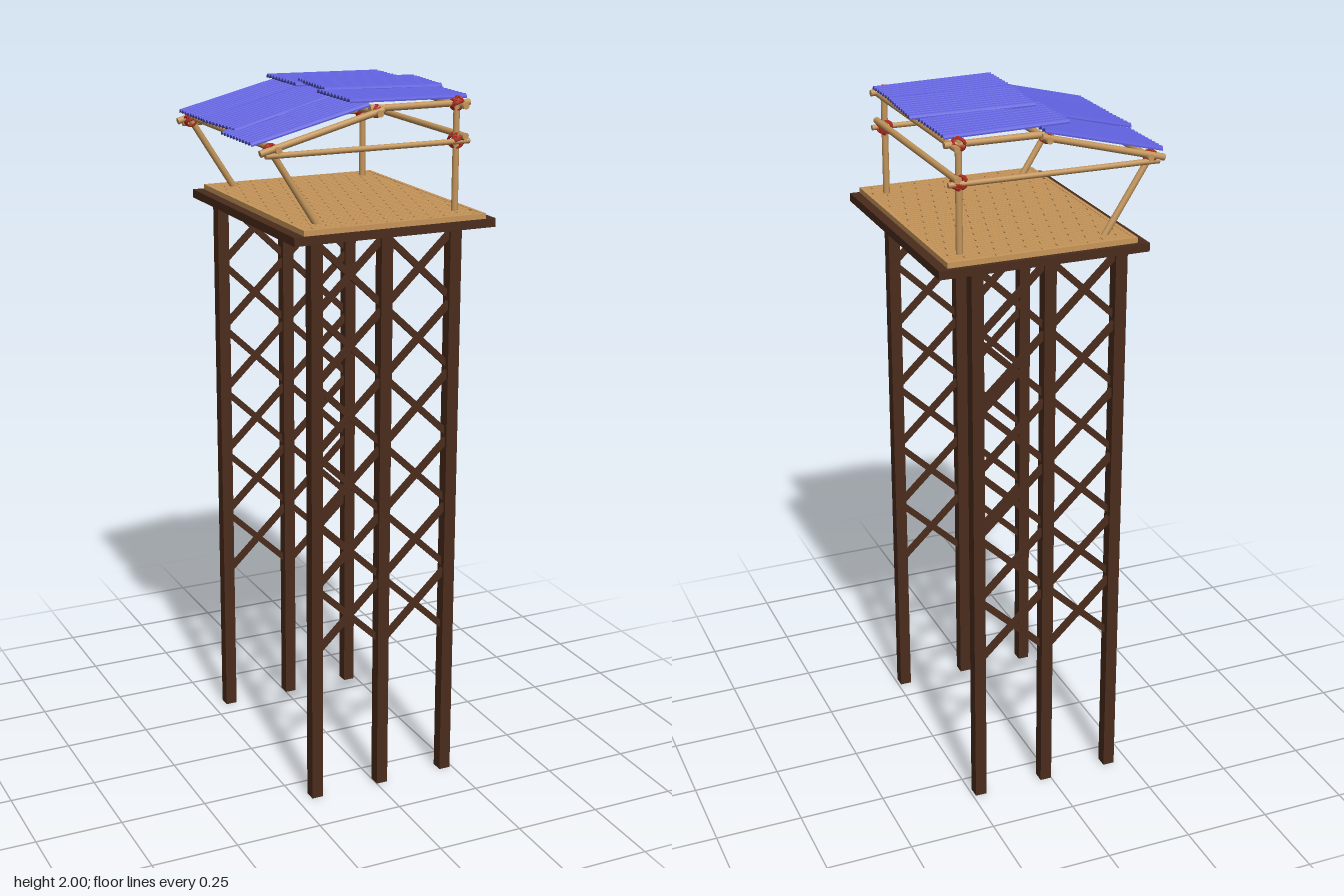
import * as THREE from 'three';
import { mergeGeometries } from 'three/addons/utils/BufferGeometryUtils.js';

const mat = (color, side = THREE.FrontSide) => new THREE.MeshStandardMaterial({ color, side });
const darkWood = mat(0x4a2c1c);
const plankWood = mat(0xc8965a);
const poleWood = mat(0xc4965c);
const ropeRed = mat(0xb02a1c);
const sheetBlue = mat(0x5c5cd6, THREE.DoubleSide);
const V = (x, y, z) => new THREE.Vector3(x, y, z);

function add(parent, name, geometry, material) {
  const mesh = new THREE.Mesh(geometry, material);
  mesh.name = name;
  parent.add(mesh);
  return mesh;
}

function box(x0, x1, y0, y1, z0, z1) {
  return new THREE.BoxGeometry(x1 - x0, y1 - y0, z1 - z0)
    .translate((x0 + x1) / 2, (y0 + y1) / 2, (z0 + z1) / 2);
}

// round pole between two points
function pole(parent, name, a, b, r = 0.0095) {
  const dir = b.clone().sub(a);
  const mesh = add(parent, name, new THREE.CylinderGeometry(r * 0.95, r, dir.length(), 10), poleWood);
  mesh.position.copy(a).add(b).multiplyScalar(0.5);
  mesh.quaternion.setFromUnitVectors(V(0, 1, 0), dir.normalize());
}

// rope lashing: crossed loops around a joint
function lashing(parent, x, y, z, r = 0.018) {
  const loops = [[0.9, 0.75, 0], [0.9, -0.75, 0], [1.35, 0.2, 0.3], [0.35, 0.5, 0.2], [-0.5, -0.6, 0.4]];
  const parts = loops.map(([rx, ry, rz]) => {
    const g = new THREE.TorusGeometry(r, 0.0035, 6, 18);
    return g.rotateX(rx).rotateY(ry).rotateZ(rz);
  });
  add(parent, 'ropeLashing', mergeGeometries(parts), ropeRed).position.set(x, y, z);
}

// corrugated sheet: a scalloped cross-section extruded along x
function corrugatedSheet() {
  const waves = 10, width = 0.21, steps = 8, pitch = width / waves;
  const top = [], bottom = [];
  for (let i = 0; i <= waves * steps; i++) {
    const x = -width / 2 + (i / steps) * pitch;
    const y = 0.008 * Math.abs(Math.sin((i / steps) * Math.PI));
    top.push(new THREE.Vector2(x, y));
    bottom.unshift(new THREE.Vector2(x, y - 0.004));
  }
  const shape = new THREE.Shape([...top, ...bottom]);
  return new THREE.ExtrudeGeometry(shape, { depth: 0.35, bevelEnabled: false })
    .translate(0, 0, -0.175).rotateY(Math.PI / 2);
}

export function createModel() {
  const model = new THREE.Group();
  model.name = 'watchtower';

  // legs and cross bracing on the front and back
  const legX = [-0.19, 0.017, 0.225];
  const tower = new THREE.Group();
  tower.name = 'towerFrame';
  model.add(tower);
  for (const z of [0.336, -0.325]) {
    for (const x of legX) {
      add(tower, 'leg', box(x - 0.017, x + 0.017, 0, 1.635, z - 0.018, z + 0.018), darkWood);
    }
    const levels = 6, low = 0.45, step = (1.635 - low) / levels;
    for (let bay = 0; bay < 2; bay++) {
      const w = legX[bay + 1] - legX[bay];
      for (let i = 0; i < levels; i++) {
        for (const s of [1, -1]) {
          const brace = add(tower, 'crossBrace',
            new THREE.BoxGeometry(Math.hypot(w, step) - 0.015, 0.018, 0.012), darkWood);
          brace.position.set(legX[bay] + w / 2, low + (i + 0.5) * step, z + s * 0.004);
          brace.rotation.z = s * Math.atan2(step, w);
        }
      }
    }
  }

  // platform
  add(model, 'platformBase', box(-0.26, 0.34, 1.632, 1.656, -0.367, 0.365), darkWood);

  // floor: border boards and staggered planks with narrow gaps
  const x0 = -0.23, x1 = 0.312, z0 = -0.354, z1 = 0.361, border = 0.011;
  const boards = [
    box(x0, x0 + border, 1.655, 1.671, z0, z1), box(x1 - border, x1, 1.655, 1.671, z0, z1),
    box(x0 + border, x1 - border, 1.655, 1.671, z0, z0 + 0.008),
    box(x0 + border, x1 - border, 1.655, 1.671, z1 - 0.008, z1),
  ];
  const rows = 42, rowW = (z1 - z0 - 0.016) / rows, length = 0.131;
  for (let r = 0; r < rows; r++) {
    const z = z0 + 0.008 + r * rowW;
    const offset = (r * 0.37 % 1) * length;
    for (let x = x0 + border - offset; x < x1 - border; x += length) {
      const a = Math.max(x, x0 + border), b = Math.min(x + length - 0.003, x1 - border);
      if (b - a > 0.004) boards.push(box(a, b, 1.655, 1.67, z + 0.0015, z + rowW - 0.0015));
    }
  }
  add(model, 'floorPlanks', mergeGeometries(boards), plankWood);

  // shelter frame of lashed poles
  const frame = new THREE.Group();
  frame.name = 'shelterFrame';
  model.add(frame);
  const zF = 0.284, zB = -0.294;
  for (const z of [zF, zB]) {
    const out = z > 0 ? 0.012 : -0.012;
    pole(frame, 'rightPost', V(0.256, 1.66, z), V(0.256, 1.975, z));
    pole(frame, 'slantedPost', V(-0.155, 1.66, z), V(-0.298, 1.885, z));
    pole(frame, 'sideRail', V(-0.31, 1.861, z + out), V(0.29, 1.861, z + out), 0.008);
    pole(frame, 'slopedRafter', V(-0.325, 1.868, z + out), V(0.03, 1.96, z + out));
    pole(frame, 'flatRafter', V(-0.005, 1.963, z), V(0.295, 1.963, z));
    lashing(frame, -0.29, 1.872, z);
    lashing(frame, 0.014, 1.956, z, 0.015);
    lashing(frame, 0.256, 1.962, z);
    lashing(frame, 0.256, 1.863, z, 0.021);
  }
  const crossPoles = [[-0.278, 1.876], [0.27, 1.876], [0.27, 1.957], [0.014, 1.952]];
  for (const [x, y] of crossPoles) pole(frame, 'crossPole', V(x, y, 0.313), V(x, y, -0.325));

  // roof: overlapping sheets as [x, y, z, yaw, tilt]
  const roof = new THREE.Group();
  roof.name = 'roof';
  model.add(roof);
  const sheet = corrugatedSheet();
  const sheets = [
    [-0.145, 1.935, -0.213, 0, 0.24],
    [-0.155, 1.941, 0.0, 0.06, 0.24],
    [-0.172, 1.931, 0.175, 0, 0.24],
    [0.115, 1.981, -0.175, 0, -0.02],
    [0.132, 1.988, 0.004, -0.063, -0.02],
    [0.115, 1.981, 0.175, 0, -0.02],
  ];
  for (const [x, y, z, yaw, tilt] of sheets) {
    const mesh = add(roof, 'roofSheet', sheet, sheetBlue);
    mesh.position.set(x, y, z);
    mesh.rotation.set(0, yaw, tilt, 'ZYX');
  }
  return model;
}
